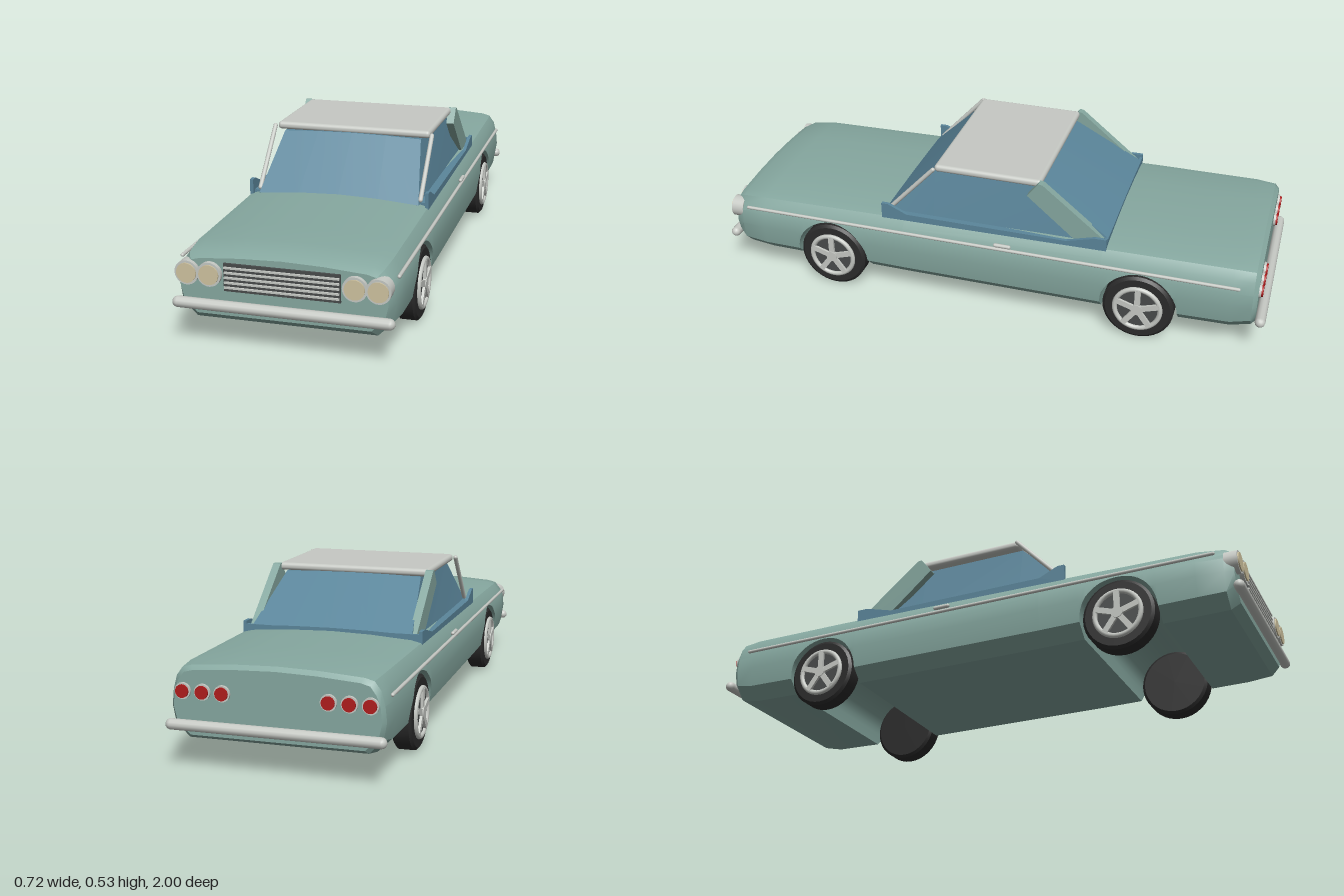
import * as THREE from 'three';
import { toCreasedNormals } from 'three/addons/utils/BufferGeometryUtils.js';
import { RoundedBoxGeometry } from 'three/addons/geometries/RoundedBoxGeometry.js';

const mat = (name, color, side = THREE.FrontSide) => {
  const m = new THREE.MeshStandardMaterial({ color, side });
  m.name = name;
  return m;
};

// Skin over half cross-sections [x, y] (bottom centre to top centre), front to back
function loft(stations, crease) {
  const rings = stations.map(({ z, half }) => {
    const mirror = half.slice(1, -1).reverse().map(([x, y]) => [-x, y]);
    return [...half, ...mirror].map(([x, y]) => [x, y, z]);
  });
  const n = rings[0].length, pos = [];
  for (let i = 0; i < rings.length - 1; i++) for (let j = 0; j < n; j++) {
    const k = (j + 1) % n, a = rings[i][j], b = rings[i][k], c = rings[i + 1][k], d = rings[i + 1][j];
    pos.push(...a, ...d, ...c, ...a, ...c, ...b);
  }
  for (const [ring, front] of [[rings[0], true], [rings.at(-1), false]]) {
    const mid = [0, (ring[0][1] + ring[n / 2][1]) / 2, ring[0][2]];
    for (let j = 0; j < n; j++) {
      const a = ring[j], b = ring[(j + 1) % n];
      pos.push(...mid, ...(front ? a : b), ...(front ? b : a));
    }
  }
  const g = new THREE.BufferGeometry();
  g.setAttribute('position', new THREE.Float32BufferAttribute(pos, 3));
  g.computeVertexNormals();
  return toCreasedNormals(g, crease);
}

// Flat plate drawn as [z, y] points, centred on x
function sidePlate(points, x, thick) {
  const shape = new THREE.Shape(points.map(([z, y]) => new THREE.Vector2(z, y)));
  const g = new THREE.ExtrudeGeometry(shape, { depth: thick, bevelEnabled: false });
  return g.rotateY(-Math.PI / 2).translate(x + thick / 2, 0, 0);
}

// Round bar between two points
function bar(a, b, r) {
  const path = new THREE.LineCurve3(new THREE.Vector3(...a), new THREE.Vector3(...b));
  const dir = path.v2.clone().sub(path.v1);
  const g = new THREE.CapsuleGeometry(r, dir.length(), 5, 12);
  g.applyQuaternion(new THREE.Quaternion().setFromUnitVectors(new THREE.Vector3(0, 1, 0), dir.normalize()));
  const mid = path.getPoint(0.5);
  return g.translate(mid.x, mid.y, mid.z);
}

const disc = (r, depth, x, y, z) =>
  new THREE.CylinderGeometry(r, r, depth, 28).rotateX(Math.PI / 2).translate(x, y, z);

const AXLES = [0.58, -0.565], WHEEL_Y = 0.126, WHEEL_R = 0.125, ARCH_R = 0.136;

// Body key stations: z, width factor, underside y, crown y
const KEYS = [
  [0.97, 0.93, 0.112, 0.306], [0.94, 0.975, 0.088, 0.32], [0.85, 1, 0.083, 0.328], [0.3, 1, 0.077, 0.337],
  [-0.5, 1, 0.077, 0.347], [-0.88, 0.99, 0.085, 0.349], [-0.95, 0.97, 0.1, 0.345], [-0.965, 0.94, 0.112, 0.332],
];

function bodySection(z, arch) {
  let i = 0;
  while (i < KEYS.length - 2 && z < KEYS[i + 1][0]) i++;
  const t = (KEYS[i][0] - z) / (KEYS[i][0] - KEYS[i + 1][0]);
  const [w, b, top] = [1, 2, 3].map(k => THREE.MathUtils.lerp(KEYS[i][k], KEYS[i + 1][k], t));
  const half = [[0, b], [0.84, b], [0.97, b + 0.045], [1, 0.2], [0.985, 0.25], [0.95, top - 0.05],
    [0.89, top - 0.022], [0.8, top - 0.014], [0.4, top - 0.004], [0, top]].map(([x, y]) => [x * 0.355 * w, y]);
  // lift everything below the wheel arch up to its curve
  const widthAt = y => {
    const k = half.findIndex((p, n) => n > 1 && p[1] >= y);
    const [p, q] = [half[k - 1], half[k]];
    return THREE.MathUtils.lerp(p[0], q[0], (y - p[1]) / (q[1] - p[1]));
  };
  return { z, half: half.map(([x, y], k) => (y >= arch ? [x, y] : [k < 2 ? x : widthAt(arch), arch])) };
}

function bodyGeometry() {
  const list = KEYS.map(k => [k[0], 0]);
  for (const c of AXLES) {
    list.push([c + ARCH_R + 0.0005, 0], [c - ARCH_R - 0.0005, 0]);
    for (let i = 0; i <= 20; i++) {
      const a = (i / 20) * Math.PI;
      list.push([c + ARCH_R * Math.cos(a), WHEEL_Y + ARCH_R * Math.sin(a)]);
    }
  }
  // key stations that fall inside an arch are covered by the arch itself
  const clear = list.filter(([z, a]) => a > 0 || AXLES.every(c => Math.abs(z - c) > ARCH_R));
  return loft(clear.sort((p, q) => q[0] - p[0]).map(([z, a]) => bodySection(z, a)), 0.5);
}

export function createModel() {
  const car = new THREE.Group();
  car.name = 'car';
  const paint = mat('body paint', 0x86a8a0);
  const glass = mat('blue glass', 0x5b869b, THREE.DoubleSide);
  const chrome = mat('chrome', 0xc6c9c4);
  const rubber = mat('tyre rubber', 0x2b2b2b);
  const dark = mat('dark trim', 0x484b4b);
  const cream = mat('headlight lens', 0xcfc3a0);
  const red = mat('tail light lens', 0xb01c1c);
  const add = (name, geo, material, parent = car) => {
    const m = new THREE.Mesh(geo, material);
    m.name = name;
    parent.add(m);
    return m;
  };

  add('body', bodyGeometry(), paint);

  // Cabin glass: z, half width at the top, top y
  const cabin = [[0.385, 0.285, 0.322], [0.2, 0.25, 0.503], [-0.19, 0.25, 0.503], [-0.44, 0.285, 0.35]];
  add('cabinGlass', loft(cabin.map(([z, w, y]) => ({
    z, half: [[0, 0.3], [0.292, 0.3], [w, y], [w * 0.5, y + 0.005], [0, y + 0.007]],
  })), 0.35), glass);
  add('rearWindowSill', new THREE.BoxGeometry(0.63, 0.045, 0.01).translate(0, 0.33, -0.435), glass);
  add('roof', new RoundedBoxGeometry(0.56, 0.027, 0.39, 4, 0.0125).translate(0, 0.518, 0), chrome);

  for (const s of [1, -1]) {
    const side = s > 0 ? 'left' : 'right';
    add(side + 'WindowSill', sidePlate([[0.385, 0.3], [0.385, 0.367], [0.36, 0.367], [0.29, 0.335], [-0.3, 0.335],
      [-0.4, 0.363], [-0.44, 0.363], [-0.44, 0.3]], s * 0.314, 0.012), glass);
    add(side + 'SillLedge', new THREE.BoxGeometry(0.045, 0.03, 0.8).translate(s * 0.295, 0.312, -0.03), glass);
    add(side + 'FrontPillar', bar([s * 0.288, 0.518, 0.195], [s * 0.288, 0.335, 0.365], 0.008), chrome);
    add(side + 'RearPillar', sidePlate([[-0.15, 0.478], [-0.19, 0.53], [-0.205, 0.528], [-0.425, 0.35], [-0.42, 0.325],
      [-0.33, 0.325]], s * 0.284, 0.028), paint);
    add(side + 'SideMoulding', bar([s * 0.347, 0.272, 0.91], [s * 0.347, 0.272, -0.9], 0.006), chrome);
    add(side + 'DoorHandle', bar([s * 0.348, 0.288, -0.05], [s * 0.348, 0.288, -0.1], 0.007), chrome);

    // Twin headlights and triple tail lights
    for (const x of [0.23, 0.303]) {
      add('headlightRing', disc(0.039, 0.045, s * x, 0.246, 0.962), chrome);
      add('headlightLens', disc(0.032, 0.008, s * x, 0.246, 0.985), cream);
    }
    for (const x of [0.17, 0.235, 0.3]) {
      add('tailLightRing', disc(0.026, 0.03, s * x, 0.252, -0.958), chrome);
      add('tailLightLens', disc(0.021, 0.012, s * x, 0.252, -0.973), red);
    }
  }

  // Grille
  add('grille', new THREE.BoxGeometry(0.37, 0.09, 0.02).translate(0, 0.24, 0.967), dark);
  for (let i = 0; i < 5; i++) {
    add('grilleBar', new THREE.BoxGeometry(0.364, 0.006, 0.01).translate(0, 0.208 + i * 0.016, 0.978), chrome);
  }

  // Bumpers
  for (const [name, z] of [['frontBumper', 0.982], ['rearBumper', -0.982]]) {
    add(name, bar([-0.336, 0.147, z], [0.336, 0.147, z], 0.018), chrome);
  }

  // Wheels, built facing +z and turned outwards
  const profile = [[0, -0.034], [0.115, -0.034], [0.125, -0.026], [0.125, 0.026], [0.115, 0.034], [0, 0.034]];
  const tyre = toCreasedNormals(new THREE.LatheGeometry(profile.map(p => new THREE.Vector2(...p)), 36).rotateX(Math.PI / 2), 0.5);
  const rim = new THREE.TorusGeometry(0.08, 0.009, 8, 36).translate(0, 0, 0.036);
  const spoke = new THREE.BoxGeometry(0.02, 0.072, 0.012).translate(0, 0.042, 0.039);
  for (const s of [1, -1]) for (const z of AXLES) {
    const wheel = new THREE.Group();
    wheel.name = (z > 0 ? 'front' : 'rear') + (s > 0 ? 'Left' : 'Right') + 'Wheel';
    wheel.position.set(s * 0.314, WHEEL_R, z);
    wheel.rotation.y = s * Math.PI / 2;
    add('tyre', tyre, rubber, wheel);
    add('rimBack', disc(0.076, 0.004, 0, 0, 0.034), dark, wheel);
    add('rim', rim, chrome, wheel);
    add('hub', disc(0.02, 0.016, 0, 0, 0.04), chrome, wheel);
    for (let i = 0; i < 5; i++) add('spoke', spoke, chrome, wheel).rotation.z = (i * Math.PI * 2) / 5;
    car.add(wheel);
  }
  return car;
}
